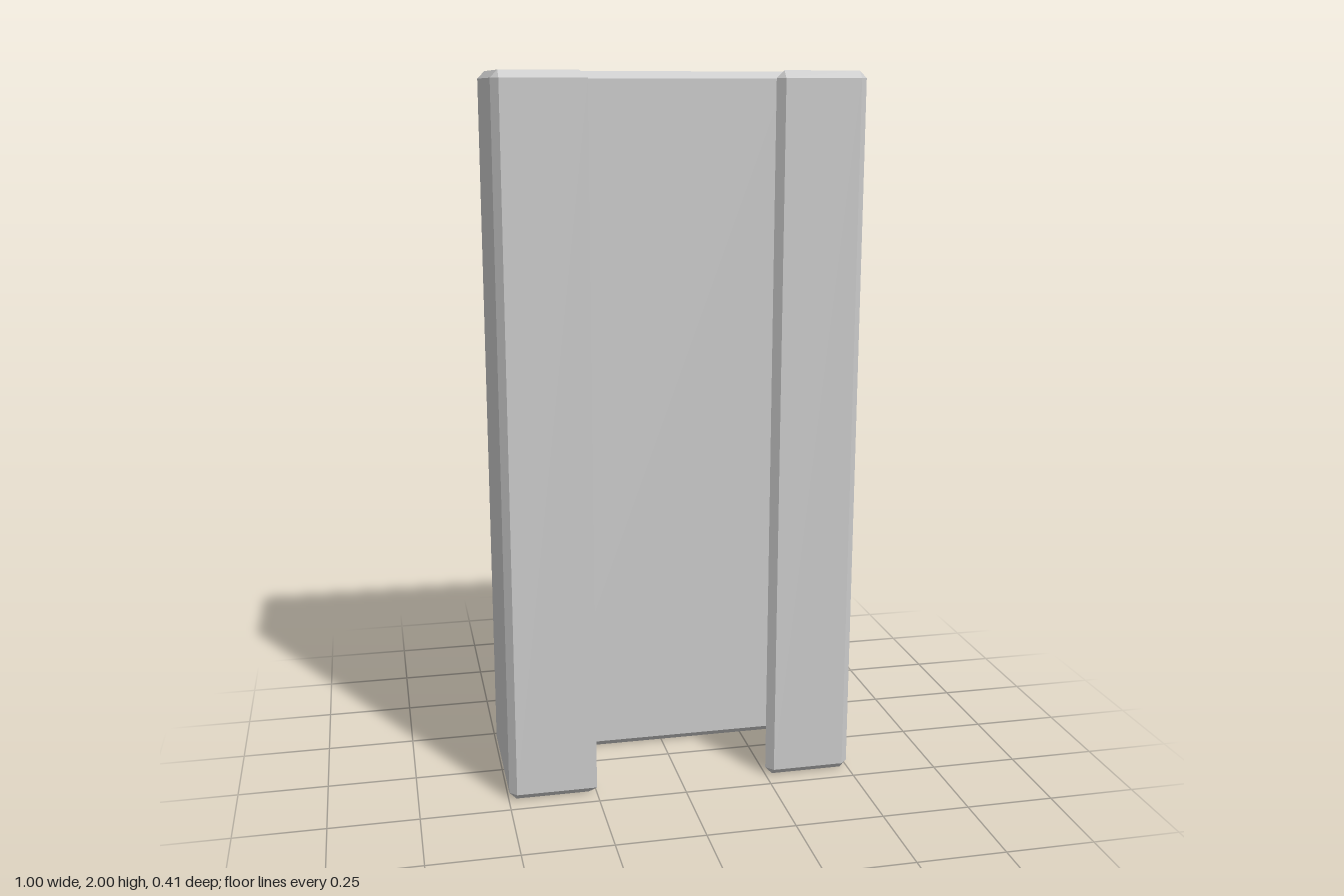
import * as THREE from 'three';

// Half of the C-shaped cross-section, from back corner round to the inner back corner.
// Each entry: full-size x, z, then the matching bevelled end-cap x, z.
const halfProfile = (tipX) => [
  [0.478, -0.207, 0.478, -0.187], // outer back chamfer
  [0.498, -0.187, 0.478, -0.187],
  [0.498, 0.187, 0.478, 0.187], // outer front chamfer
  [0.478, 0.207, 0.478, 0.187],
  [tipX, 0.207, 0.271, 0.187], // lip tip
  [0.251, 0.185, 0.271, 0.187],
  [0.268, 0.15, 0.298, 0.147], // sloping inside of the lip
  [0.362, 0.054, 0.381, 0.06],
  [0.376, 0.02, 0.396, 0.023], // inner side wall
  [0.376, -0.065, 0.396, -0.065],
  [0.356, -0.087, 0.376, -0.107], // inner back wall
];

function createChannelGeometry() {
  // Right lip ends square, left lip has a chamfered front edge
  const profile = [
    ...halfProfile(0.251).map(([x, z, cx, cz]) => [-x, z, -cx, cz]),
    ...halfProfile(0.271).reverse(),
  ];
  const full = profile.map(([x, z]) => [x, z]);
  const cap = profile.map(([, , x, z]) => [x, z]);
  const rings = [[0, cap], [0.02, full], [1.98, full], [2, cap]];
  const n = profile.length;
  const positions = [];
  const index = [];
  for (const [y, ring] of rings) for (const [x, z] of ring) positions.push(x, y, z);

  // Walls and end bevels
  for (let r = 0; r < rings.length - 1; r++) {
    for (let i = 0; i < n; i++) {
      const a = r * n + i;
      const b = r * n + ((i + 1) % n);
      index.push(a, b, b + n, a, b + n, a + n);
    }
  }
  // Flat ends
  const outline = cap.map(([x, z]) => new THREE.Vector2(x, -z));
  const top = (rings.length - 1) * n;
  for (const [a, b, c] of THREE.ShapeUtils.triangulateShape(outline, [])) {
    index.push(top + a, top + b, top + c, a, c, b);
  }

  const indexed = new THREE.BufferGeometry();
  indexed.setAttribute('position', new THREE.Float32BufferAttribute(positions, 3));
  indexed.setIndex(index);
  const geometry = indexed.toNonIndexed();
  geometry.computeVertexNormals();
  return geometry;
}

export function createModel() {
  const group = new THREE.Group();
  group.name = 'channelClip';
  const material = new THREE.MeshStandardMaterial({ color: 0xcccccc, flatShading: true });
  const channel = new THREE.Mesh(createChannelGeometry(), material);
  channel.name = 'channelBody';
  group.add(channel);
  return group;
}
